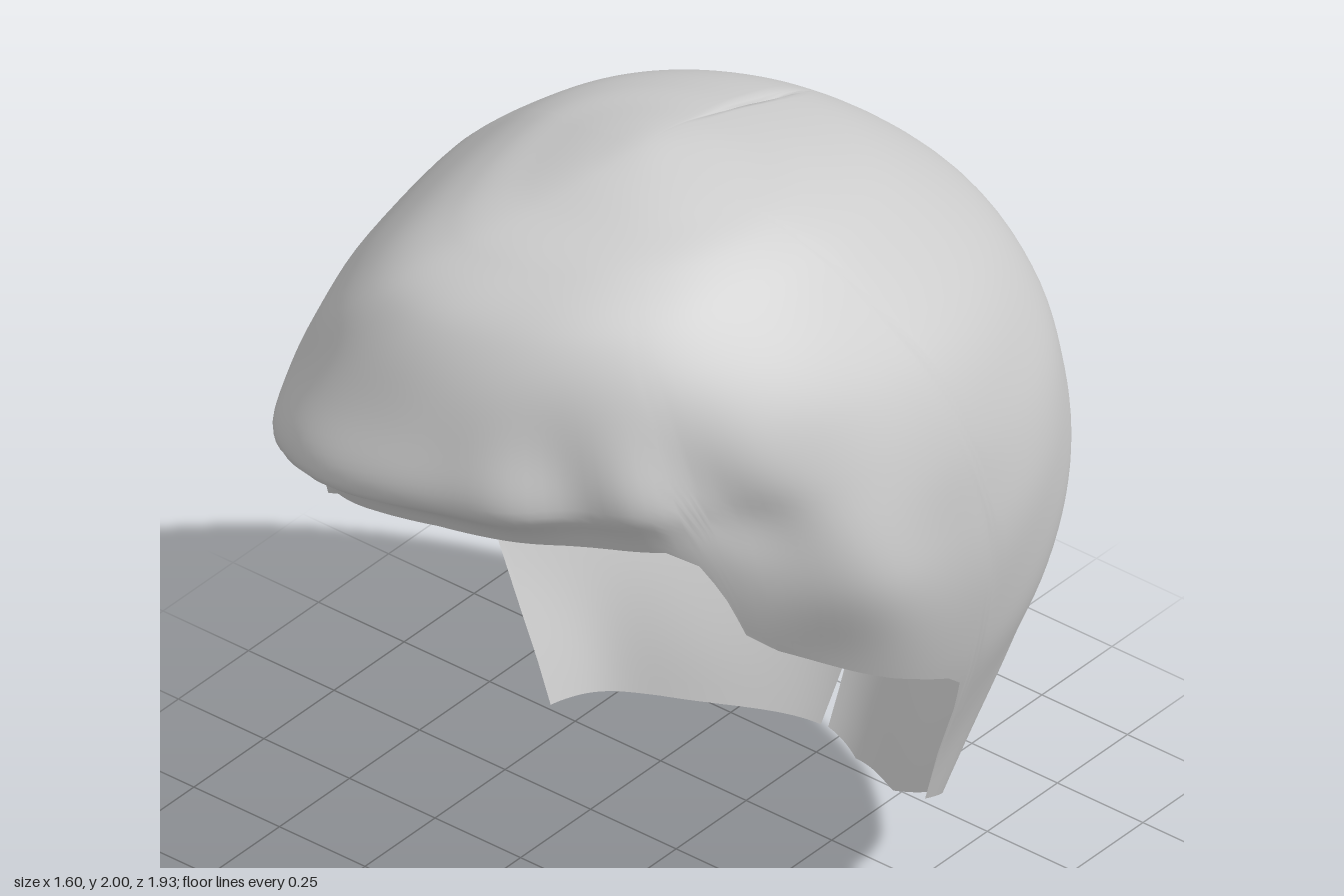
import * as THREE from 'three';

// Horizontal sections, crown to nape: y, -x reach, +x reach, front z, back z, centre z
const SECTIONS = [
  [2.0, 0, 0, 0.12, 0.12, 0.12],
  [1.985, 0.1, 0.11, 0.26, 0.0, 0.12],
  [1.95, 0.22, 0.24, 0.4, -0.12, 0.1],
  [1.9, 0.35, 0.36, 0.58, -0.28, 0.07],
  [1.8, 0.49, 0.49, 0.75, -0.51, 0.02],
  [1.6, 0.69, 0.67, 0.865, -0.75, -0.05],
  [1.4, 0.78, 0.76, 0.865, -0.88, -0.09],
  [1.2, 0.8, 0.79, 0.79, -0.94, -0.13],
  [1.0, 0.78, 0.785, 0.72, -0.96, -0.15],
  [0.8, 0.75, 0.75, 0.64, -0.93, -0.15],
  [0.6, 0.695, 0.68, 0.56, -0.86, -0.15],
  [0.4, 0.63, 0.61, 0.48, -0.77, -0.15],
  [0.2, 0.56, 0.55, 0.4, -0.665, -0.15],
  [0.0, 0.49, 0.49, 0.32, -0.55, -0.15],
  [-0.2, 0.42, 0.43, 0.24, -0.43, -0.15],
];

// Lower edge as [angle, height]: 0 = +x, 90 = front, 180 = -x, 270 = back
const HEM = [
  [1, 0.7], [5, 0.745], [10, 0.78], [18, 0.84], [28, 0.93], [36, 1.0], [40, 1.06],
  [41.5, 1.17], [43.5, 1.28], [47, 1.33], [60, 1.33], [78, 1.315], [90, 1.285],
  [102, 1.25], [114, 1.15], [123, 1.11], [138, 1.05], [144, 0.99], [156, 0.9],
  [170, 0.8], [178, 0.73], [180.5, 0.64], [182.5, 0.3], [184, 0.08], [225, 0.06], [265.5, 0.03],
  [266.6, 0.19], [267.7, 0.03], // slit at the nape
  [280, 0.005], [303, 0.05], [320, 0.13], [340, 0.22], [357, 0.3], [359.3, 0.6], [361, 0.7],
];

const gauss = (v, mid, width) => Math.exp(-(((v - mid) / width) ** 2));

// Smooth interpolation of the section rows, mirrored over the crown to round it
function section(u) {
  const last = SECTIONS.length - 1;
  const i = Math.min(Math.floor(u), last - 1);
  const t = u - i;
  const row = (k) => (k < 0
    ? SECTIONS[1].map((v, col) => (col === 0 ? v : 2 * SECTIONS[0][col] - v))
    : SECTIONS[Math.min(last, k)]);
  const [a, b, c, d] = [row(i - 1), row(i), row(i + 1), row(i + 2)];
  return b.map((p, k) => {
    const m0 = (c[k] - a[k]) / 2, m1 = (d[k] - p) / 2;
    return p + t * (m0 + t * (3 * (c[k] - p) - 2 * m0 - m1 + t * (2 * (p - c[k]) + m0 + m1)));
  });
}

// Find the section parameter at a given height
function paramAtHeight(y) {
  let lo = 0, hi = SECTIONS.length - 1;
  for (let k = 0; k < 30; k++) {
    const mid = (lo + hi) / 2;
    if (section(mid)[0] > y) lo = mid; else hi = mid;
  }
  return lo;
}

function surfacePoint(deg, u) {
  const [y, left, right, front, back, zc] = section(u);
  const a = THREE.MathUtils.degToRad(deg);
  const c = Math.cos(a), s = Math.sin(a), f = Math.max(0, s);
  const fade = THREE.MathUtils.smoothstep(u, 0, 6);

  // Rolled lip of the fringe, sharp below and soft above, sloping down towards -x
  const lipY = 1.42 - 0.0006 * (deg - 90);
  const lip = gauss(y, lipY, y > lipY ? 0.13 : 0.05);
  let swell = 1 + 0.1 * lip * gauss(deg, 98, 42);
  // Separate locks in the fringe on the +x side
  swell += 0.022 * Math.cos((deg - 48) * 0.33) * gauss(deg, 50, 18) * gauss(y, 1.48, 0.13);
  // Swelling and hollow over the +x temple
  swell += 0.065 * gauss(deg, 21, 10) * gauss(y, 1.15, 0.2);
  swell -= 0.03 * gauss(deg, 33, 7) * gauss(y, 1.38, 0.12);
  // Fuller corners of the dome, and soft unevenness
  swell += 0.04 * (f * c * 2) ** 2 * gauss(y, 1.75, 0.15);
  swell += 0.006 * fade * Math.sin(5 * a + 6 * y) * Math.sin(9 * y + 2 * a);
  swell += 0.006 * fade * f * Math.sin(11 * a + 4 * y) * Math.sin(14 * y + 3 * a);

  // The fringe is swept towards -x
  let x = c * (c > 0 ? right : left * (1 - 0.08 * f));
  x = x * swell - 0.2 * f ** 3 * fade;
  // The nape narrows to a keel near its lower edge
  const keel = 1 - 0.9 * (s * c) ** 2 * THREE.MathUtils.smoothstep(0.6 - y, 0, 0.5);
  const z = zc + s * (s > 0 ? front - zc : (zc - back) * keel) * swell;
  // Parting crease behind the crown
  const crease = 0.02 * gauss(deg, 267, 1.3) * gauss(y, 1.89, 0.045);
  return [x, y - crease, z];
}

function capGeometry() {
  // Columns follow the hem so that its corners stay crisp
  const columns = [];
  for (let i = 0; i < HEM.length - 1; i++) {
    const [a0, y0] = HEM[i], [a1, y1] = HEM[i + 1];
    const n = Math.max(2, Math.ceil((a1 - a0) / 2));
    for (let k = 0; k < n; k++) {
      const t = k / n;
      columns.push([a0 + (a1 - a0) * t, paramAtHeight(y0 + (y1 - y0) * t)]);
    }
  }
  const rows = 70, n = columns.length;
  const positions = [...surfacePoint(0, 0)], index = [];
  const id = (i, j) => (j === 0 ? 0 : 1 + (i % n) * rows + j - 1);
  columns.forEach(([deg, hemU], i) => {
    for (let j = 1; j <= rows; j++) positions.push(...surfacePoint(deg, (hemU * j) / rows));
    for (let j = 0; j < rows; j++) {
      const a = id(i, j), b = id(i + 1, j), c = id(i, j + 1), d = id(i + 1, j + 1);
      if (j > 0) index.push(a, b, c);
      index.push(b, d, c);
    }
  });
  const geometry = new THREE.BufferGeometry();
  geometry.setAttribute('position', new THREE.Float32BufferAttribute(positions, 3));
  geometry.setIndex(index);
  geometry.computeVertexNormals();
  return geometry;
}

export function createModel() {
  const group = new THREE.Group();
  group.name = 'hairpiece';
  const material = new THREE.MeshStandardMaterial({ color: 0xcccccc, side: THREE.DoubleSide });
  const hair = new THREE.Mesh(capGeometry(), material);
  hair.name = 'hairShell';
  group.add(hair);
  return group;
}
